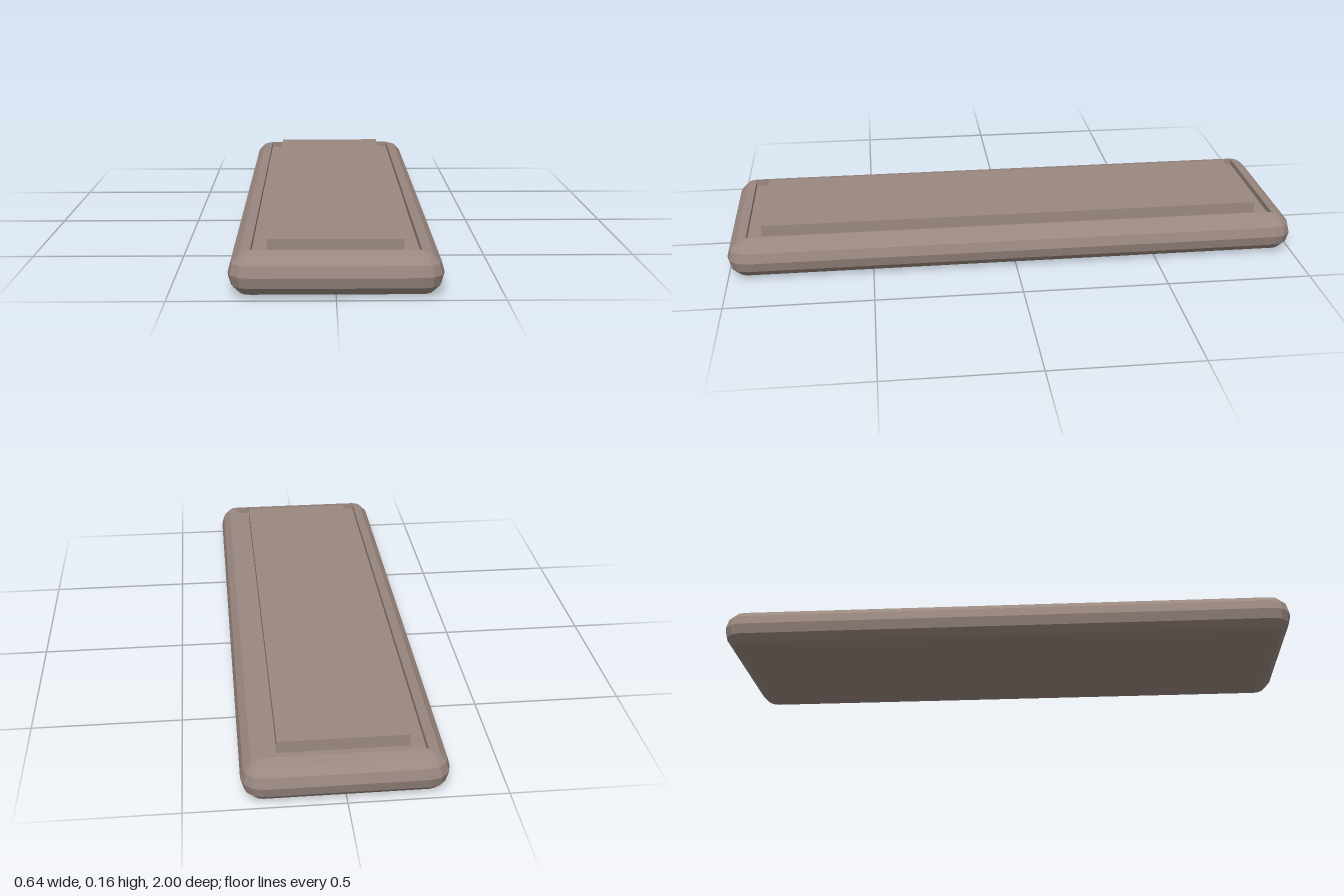
import * as THREE from 'three';

const R = 0.068;            // rounding radius of the tray edge
const HX = 0.254;           // half width of the flat, before rounding
const HZ = 0.932;           // half length of the flat, before rounding
const FLOOR = 0.116;        // height of the recessed floor
const SEG = 3;              // facets per quarter turn

// Plan outline: a rectangle grown outward by `grow`, with faceted corners
function outline(grow, y) {
  const points = [];
  [[1, 1], [-1, 1], [-1, -1], [1, -1]].forEach(([sx, sz], corner) => {
    for (let i = 0; i <= SEG; i++) {
      const a = (corner + i / SEG) * Math.PI / 2;
      points.push([sx * HX + grow * Math.cos(a), y, sz * HZ + grow * Math.sin(a)]);
    }
  });
  return points;
}

// Rounded tray body: stacked outlines from the base, round the edge, down into the recess
function trayGeometry() {
  const rings = [];
  for (let i = 0; i <= SEG * 2; i++) {
    const a = -Math.PI / 2 + (i / SEG) * Math.PI / 2;
    const grow = i % (SEG * 2) === 0 ? 0 : R * Math.cos(a);
    rings.push(outline(grow, R + R * Math.sin(a)));
  }
  rings.push(outline(0, FLOOR));

  const n = rings[0].length;
  const positions = [];
  const same = (p, q) => Math.hypot(p[0] - q[0], p[1] - q[1], p[2] - q[2]) < 1e-6;
  const tri = (a, b, c) => {
    if (!same(a, b) && !same(b, c) && !same(a, c)) positions.push(...a, ...b, ...c);
  };
  for (let r = 0; r < rings.length - 1; r++) {
    for (let i = 0; i < n; i++) {
      const j = (i + 1) % n;
      const [a, b, c, d] = [rings[r][i], rings[r][j], rings[r + 1][j], rings[r + 1][i]];
      tri(a, c, b);
      tri(a, d, c);
    }
  }
  // Base and recessed floor
  const last = rings[rings.length - 1];
  for (let i = 0; i < n; i++) {
    const j = (i + 1) % n;
    tri([0, 0, 0], rings[0][i], rings[0][j]);
    tri([0, FLOOR, 0], last[j], last[i]);
  }
  const geometry = new THREE.BufferGeometry();
  geometry.setAttribute('position', new THREE.Float32BufferAttribute(positions, 3));
  geometry.computeVertexNormals();
  return geometry;
}

export function createModel() {
  const group = new THREE.Group();
  group.name = 'panelledTray';
  const material = new THREE.MeshStandardMaterial({ color: 0x9a8880, flatShading: true });

  const tray = new THREE.Mesh(trayGeometry(), material);
  tray.name = 'roundedTray';
  group.add(tray);

  // Raised panel standing in the recess
  const top = 0.156;
  const panel = new THREE.Mesh(new THREE.BoxGeometry(0.412, top - FLOOR, 1.764), material);
  panel.name = 'raisedPanel';
  panel.position.y = (top + FLOOR) / 2;
  group.add(panel);

  return group;
}
